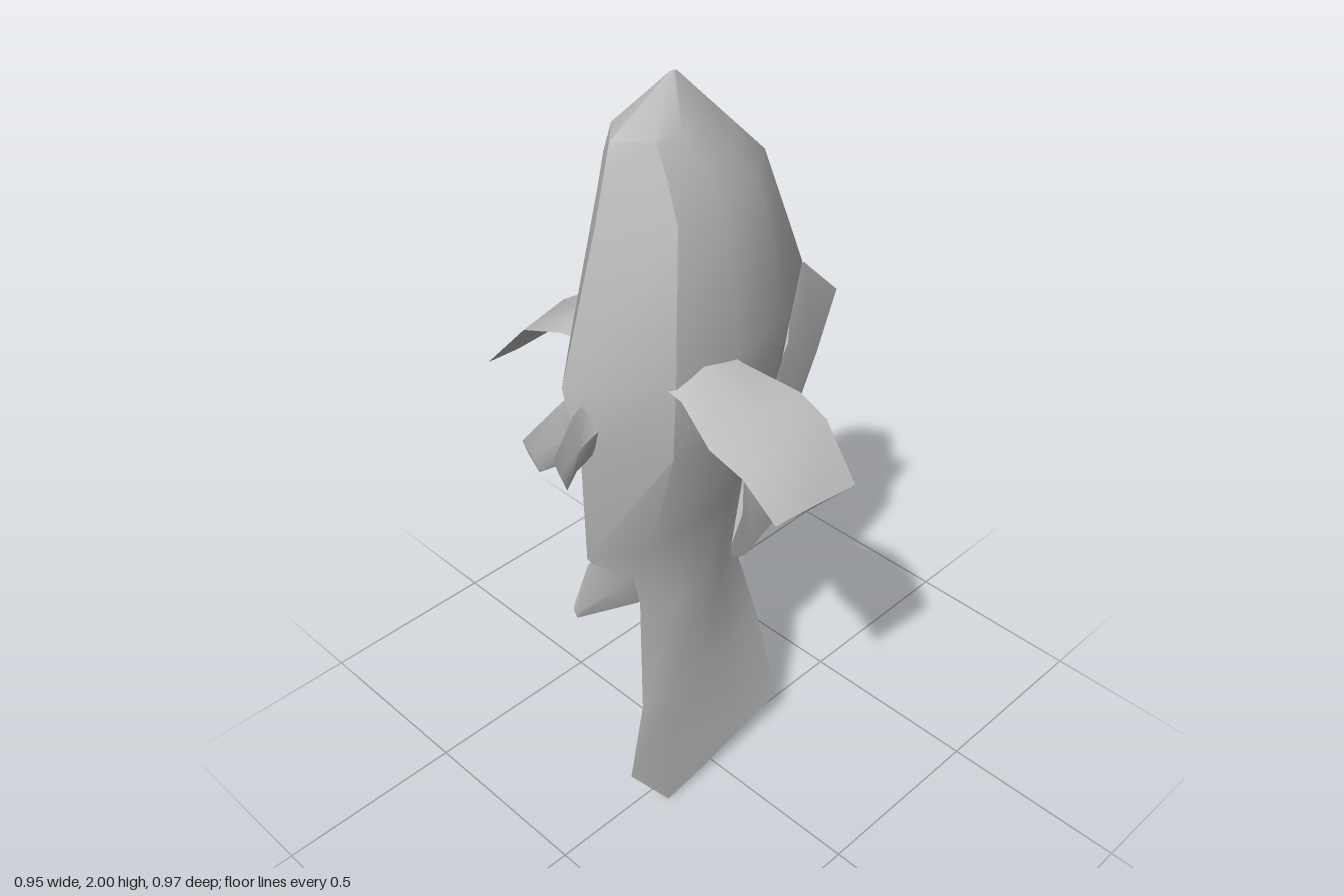
import * as THREE from 'three';
import { toCreasedNormals } from 'three/addons/utils/BufferGeometryUtils.js';

const skin = new THREE.MeshStandardMaterial({ color: 0xbfbfbf, side: THREE.DoubleSide });
skin.name = 'grey skin';

// Skins a row of equal-length rings of [x, y, z] points and caps both ends.
function loft(rings, crease) {
  const n = rings[0].length;
  const tris = [];
  for (let r = 0; r < rings.length - 1; r++) {
    for (let i = 0; i < n; i++) {
      const j = (i + 1) % n;
      const [a, b, c, d] = [rings[r][i], rings[r][j], rings[r + 1][j], rings[r + 1][i]];
      tris.push([a, b, c], [a, c, d]);
    }
  }
  const last = rings[rings.length - 1];
  for (let i = 1; i < n - 1; i++) {
    tris.push([rings[0][0], rings[0][i + 1], rings[0][i]], [last[0], last[i], last[i + 1]]);
  }
  // Turn the faces outward
  const v = (p) => new THREE.Vector3(...p);
  let volume = 0;
  for (const [a, b, c] of tris) volume += v(a).dot(v(b).cross(v(c)));
  if (volume < 0) tris.forEach((t) => t.reverse());
  const g = new THREE.BufferGeometry();
  g.setAttribute('position', new THREE.Float32BufferAttribute(tris.flat(2), 3));
  return toCreasedNormals(g, crease);
}

// A thin fin: each section is [leading point, trailing point, thickness];
// dir is the direction of its thickness.
function fin(sections, dir) {
  const rings = sections.map(([a, b, t]) => {
    const side = (s) => a.map((p, k) => (p + b[k]) / 2 + s * t * 0.5 * dir[k]);
    return [a, side(1), b, side(-1)];
  });
  return loft(rings, 0.6);
}

// Body and tail, nose up: [front y, back y, centre x, half width, front z, back z]
const bodySections = [
  [2.0, 2.0, -0.02, 0.004, 0.07, 0.05],
  [1.91, 1.91, -0.015, 0.07, 0.24, -0.04],
  [1.84, 1.84, -0.01, 0.1, 0.265, -0.11],
  [1.75, 1.75, -0.005, 0.128, 0.295, -0.2],
  [1.42, 1.42, 0, 0.175, 0.41, -0.335],
  [1.2, 1.2, 0, 0.14, 0.37, -0.29],
  [0.92, 0.93, -0.01, 0.088, 0.36, -0.18],
  [0.71, 0.69, 0.01, 0.052, 0.22, -0.11],
  [0.38, 0.42, 0.03, 0.014, 0.24, -0.18],
  [0.18, 0.2, 0.044, 0.008, 0.3, -0.222],
  [0.005, 0.1, 0.055, 0.003, 0.18, -0.24],
];
// [position from back to front, width share] around one section
const outline = [[0, 0], [0.27, 0.8], [0.53, 1], [0.77, 0.93], [1, 0],
  [0.77, -0.93], [0.53, -1], [0.27, -0.8]];

export function createModel() {
  const group = new THREE.Group();
  group.name = 'fish';
  const add = (name, geometry) => {
    const mesh = new THREE.Mesh(geometry, skin);
    mesh.name = name;
    group.add(mesh);
  };

  add('body', loft(bodySections.map(([yf, yb, c, w, zf, zb]) =>
    outline.map(([u, s]) => [c + s * w, yb + (yf - yb) * u, zb + (zf - zb) * u])), 0.6));

  // Side fins, arching out and down
  add('leftSideFin', fin([
    [[0.14, 1.42, 0.07], [0.14, 1.41, 0.25], 0.05],
    [[0.19, 1.41, 0.065], [0.19, 1.4, 0.25], 0.05],
    [[0.3, 1.36, 0.005], [0.3, 1.35, 0.28], 0.04],
    [[0.38, 1.33, 0.008], [0.38, 1.31, 0.265], 0.03],
    [[0.475, 1.21, 0.015], [0.465, 1.23, 0.255], 0.008],
  ], [0.4, 0.9, 0]));
  add('rightSideFin', fin([
    [[-0.14, 1.42, 0.09], [-0.14, 1.41, 0.25], 0.05],
    [[-0.19, 1.41, 0.09], [-0.19, 1.4, 0.25], 0.05],
    [[-0.345, 1.34, -0.03], [-0.32, 1.35, 0.25], 0.04],
    [[-0.475, 1.19, 0.055], [-0.46, 1.2, 0.255], 0.008],
  ], [-0.4, 0.9, 0]));

  // Back fins along the spine
  add('upperBackFin', fin([
    [[0, 1.42, -0.3], [0.01, 1.08, -0.2], 0.07],
    [[0.005, 1.42, -0.335], [0.015, 1.07, -0.245], 0.05],
    [[-0.01, 1.28, -0.48], [0.0, 0.985, -0.33], 0.008],
  ], [1, 0, 0]));
  add('lowerBackFin', fin([
    [[0, 0.94, -0.15], [0.02, 0.68, -0.07], 0.05],
    [[0, 0.93, -0.18], [0.02, 0.65, -0.14], 0.03],
    [[0.02, 0.74, -0.275], [0.02, 0.715, -0.28], 0.008],
  ], [1, 0, 0]));

  // Belly fin above the tail
  add('bellyFin', fin([
    [[-0.01, 0.92, 0.32], [0.01, 0.71, 0.19], 0.05],
    [[-0.01, 0.9, 0.36], [0.01, 0.715, 0.23], 0.035],
    [[-0.015, 0.8, 0.405], [-0.01, 0.765, 0.4], 0.008],
  ], [1, 0, 0]));

  // Pair of small chest fins
  for (const s of [1, -1]) {
    add(s > 0 ? 'leftChestFin' : 'rightChestFin', fin([
      [[s * 0.02, 1.38, 0.36], [s * 0.02, 1.23, 0.35], 0.05],
      [[s * 0.025, 1.36, 0.405], [s * 0.02, 1.21, 0.4], 0.04],
      [[s * 0.05, 1.3, 0.485], [s * 0.045, 1.2, 0.45], 0.008],
    ], [1, 0, 0]));
  }
  return group;
}
